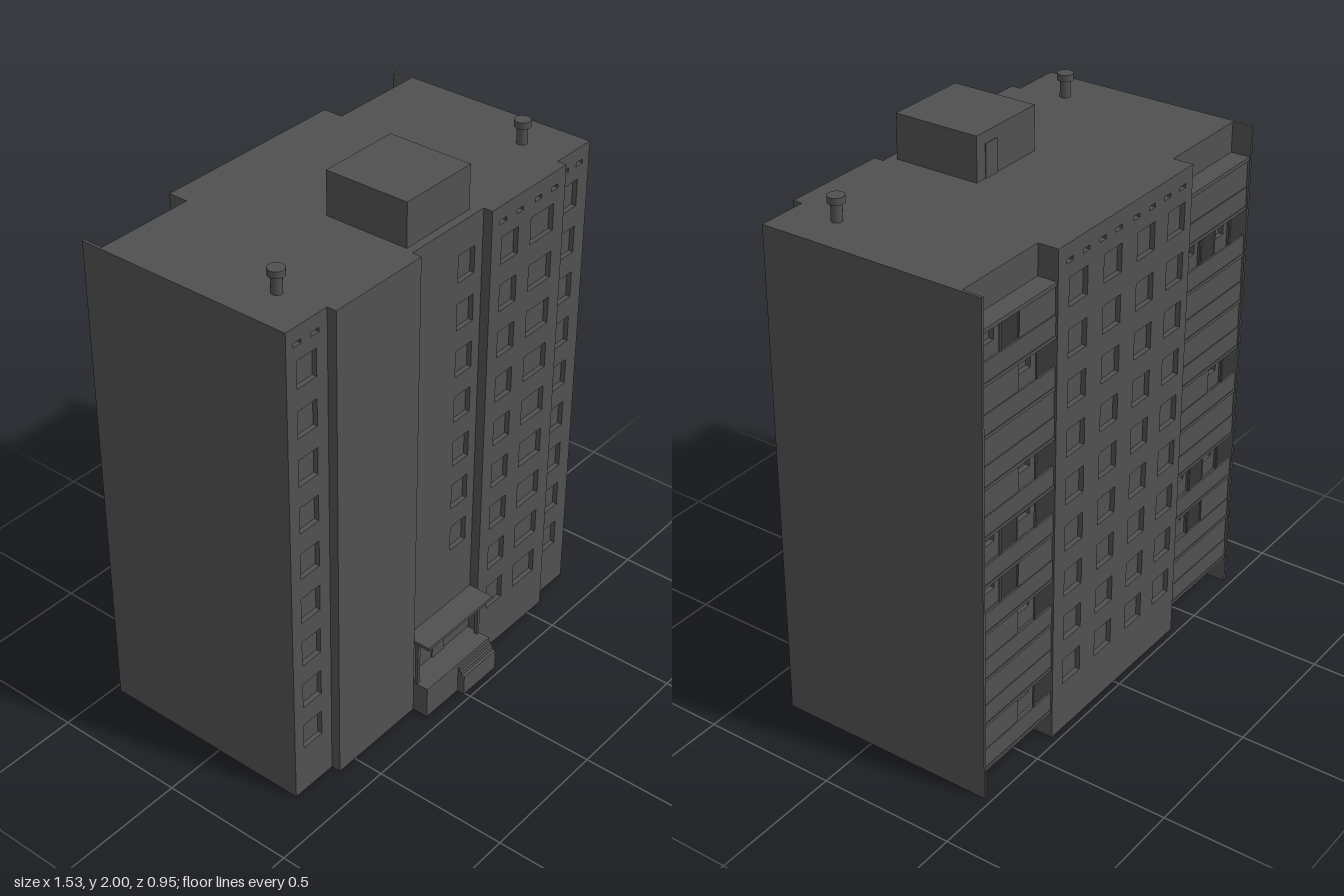
import * as THREE from 'three';
import { mergeGeometries } from 'three/addons/utils/BufferGeometryUtils.js';

const concrete = new THREE.MeshStandardMaterial({ color: 0x505050, side: THREE.DoubleSide });
concrete.name = 'dark concrete';

const H = 1.84, FLOORS = 9, STEP = 0.179, SILL = 0.19, WIN_H = 0.1;

function add(parent, name, geometry, x = 0, y = 0, z = 0) {
  const mesh = new THREE.Mesh(geometry, concrete);
  mesh.name = name;
  mesh.position.set(x, y, z);
  parent.add(mesh);
  return mesh;
}

// Box given by its limits on each axis
function block(parent, name, x0, x1, y0, y1, z0, z1) {
  return add(parent, name, new THREE.BoxGeometry(x1 - x0, y1 - y0, z1 - z0),
    (x0 + x1) / 2, (y0 + y1) / 2, (z0 + z1) / 2);
}

// Open-fronted recess behind an opening
function recess([u0, u1, v0, v1], depth) {
  const g = new THREE.BoxGeometry(u1 - u0, v1 - v0, depth);
  const idx = Array.from(g.index.array);
  idx.splice(24, 6);
  g.setIndex(idx);
  g.clearGroups();
  return g.translate((u0 + u1) / 2, (v0 + v1) / 2, -depth / 2);
}

// Wall sheet between two plan points, with recessed openings
function facade(parent, name, a, b, openings) {
  const w = Math.hypot(b[0] - a[0], b[1] - a[1]);
  const rect = (T, u0, u1, v0, v1) => {
    const p = new T();
    p.moveTo(u0, v0); p.lineTo(u1, v0); p.lineTo(u1, v1); p.lineTo(u0, v1); p.closePath();
    return p;
  };
  const shape = rect(THREE.Shape, 0, w, 0, H);
  openings.forEach(o => shape.holes.push(rect(THREE.Path, ...o)));
  const parts = [new THREE.ShapeGeometry(shape), ...openings.map(o => recess(o, 0.018))];
  const mesh = add(parent, name, mergeGeometries(parts), a[0], 0, a[1]);
  mesh.rotation.y = Math.atan2(a[1] - b[1], b[0] - a[0]);
}

// Columns of windows, one per storey, plus slots under the roof
function windows(columns, vents = [], first = 0) {
  const list = [];
  for (const [u0, u1] of columns)
    for (let i = first; i < FLOORS; i++)
      list.push([u0, u1, SILL + i * STEP, SILL + i * STEP + WIN_H]);
  vents.forEach(u => list.push([u - 0.018, u + 0.018, 1.773, 1.788]));
  return list;
}

// Door and window on the wall behind each balcony
function balconyOpenings() {
  const list = [];
  for (let i = 0; i < FLOORS; i++) {
    const y = 0.125 + i * STEP;
    for (const u of [0.03, 0.22]) {
      list.push([u, u + 0.05, y, y + 0.14], [u + 0.06, u + 0.13, y + 0.055, y + 0.14]);
    }
  }
  return list;
}

// One rear bay of loggias; side is +1 or -1, open lists [inner, outer] per storey
function balconyBay(parent, side, open) {
  const bay = new THREE.Group();
  bay.name = side > 0 ? 'leftBalconies' : 'rightBalconies';
  parent.add(bay);
  const part = (name, x0, x1, y0, y1, z0, z1) =>
    block(bay, name, Math.min(side * x0, side * x1), Math.max(side * x0, side * x1), y0, y1, z0, z1);
  const x0 = 0.38, xm = 0.567, x1 = 0.755;
  part('endFin', x1, 0.765, 0, H, -0.475, -0.4);
  part('divider', xm - 0.004, xm + 0.004, 0.11, 1.73, -0.462, -0.4);
  for (let i = 0; i < FLOORS; i++) {
    const y = 0.105 + i * STEP;
    part('balconySlab', x0, x1, y, y + 0.012, -0.471, -0.4);
    part('parapet', x0, x1, y + 0.012, y + 0.082, -0.468, -0.461);
    [[x0, xm], [xm, x1]].forEach(([a, b], k) => {
      if (!open[i][k]) part('glazing', a, b, y + 0.084, y + STEP, -0.466, -0.461);
      else part('glazingPost', (a + b) / 2 - 0.004, (a + b) / 2 + 0.004, y + 0.082, y + STEP, -0.467, -0.461);
    });
  }
  part('balconyCanopy', x0, x1, 1.716, 1.73, -0.471, -0.4);
}

export function createModel() {
  const model = new THREE.Group();
  model.name = 'apartmentBlock';

  // Plan outline, walked anticlockwise from the front corner
  const outline = [
    [-0.765, 0.35], [-0.58, 0.35], [-0.58, 0.385], [-0.18, 0.385], [-0.18, 0.35], [0.18, 0.35],
    [0.18, 0.385], [0.58, 0.385], [0.58, 0.35], [0.765, 0.35], [0.765, -0.4], [0.38, -0.4],
    [0.38, -0.475], [-0.38, -0.475], [-0.38, -0.4], [-0.765, -0.4],
  ];
  const openings = {
    0: windows([[0.045, 0.135]], [0.05, 0.13]),
    3: windows([[0.05, 0.175], [0.245, 0.34]], [0.06, 0.15, 0.25, 0.34]),
    4: windows([[0.235, 0.32]], [], 2),
    6: windows([[0.055, 0.145], [0.215, 0.34]], [0.06, 0.15, 0.25, 0.34]),
    8: windows([[0.035, 0.125]], [0.05, 0.13]),
    10: balconyOpenings(),
    12: windows([[0.06, 0.16], [0.25, 0.35], [0.44, 0.54], [0.62, 0.72]],
      [0.06, 0.15, 0.24, 0.33, 0.43, 0.52, 0.61, 0.7]),
    14: balconyOpenings(),
  };
  outline.forEach((a, i) =>
    facade(model, 'wall', a, outline[(i + 1) % outline.length], openings[i] || []));

  // Roof
  const roof = new THREE.Shape(outline.map(([x, z]) => new THREE.Vector2(x, -z)));
  add(model, 'roof', new THREE.ShapeGeometry(roof).rotateX(-Math.PI / 2), 0, H, 0);
  block(model, 'liftHouse', -0.17, 0.145, H, 2, 0, 0.32);
  block(model, 'liftHouseDoor', 0.04, 0.1, H, 1.96, -0.003, 0);
  for (const x of [-0.612, 0.612]) {
    add(model, 'ventPipe', new THREE.CylinderGeometry(0.019, 0.019, 0.065, 16), x, H + 0.032, 0.183);
    add(model, 'ventCap', new THREE.CylinderGeometry(0.029, 0.029, 0.024, 16), x, 1.914, 0.183);
  }

  // Rear balconies, storeys from the bottom: [inner open, outer open]
  balconyBay(model, 1, [[1, 0], [0, 0], [1, 0], [0, 1], [1, 1], [1, 0], [0, 0], [1, 0], [0, 1]]);
  balconyBay(model, -1, [[0, 0], [1, 0], [1, 1], [0, 0], [0, 1], [0, 0], [0, 0], [1, 1], [0, 0]]);

  // Entrance porch
  const porch = new THREE.Group();
  porch.name = 'porch';
  model.add(porch);
  block(porch, 'landing', -0.18, 0.178, 0, 0.125, 0.35, 0.446);
  block(porch, 'upperStep', -0.005, 0.178, 0, 0.11, 0.446, 0.454);
  block(porch, 'middleStep', -0.005, 0.178, 0, 0.095, 0.454, 0.463);
  block(porch, 'lowerStep', -0.005, 0.178, 0, 0.08, 0.463, 0.475);
  block(porch, 'canopy', -0.182, 0.18, 0.304, 0.316, 0.35, 0.45);
  for (const x of [-0.172, 0.17])
    block(porch, 'canopyPost', x - 0.006, x + 0.006, 0.125, 0.304, 0.388, 0.401);
  block(porch, 'entranceDoor', -0.037, 0.03, 0.125, 0.296, 0.35, 0.355);
  return model;
}
